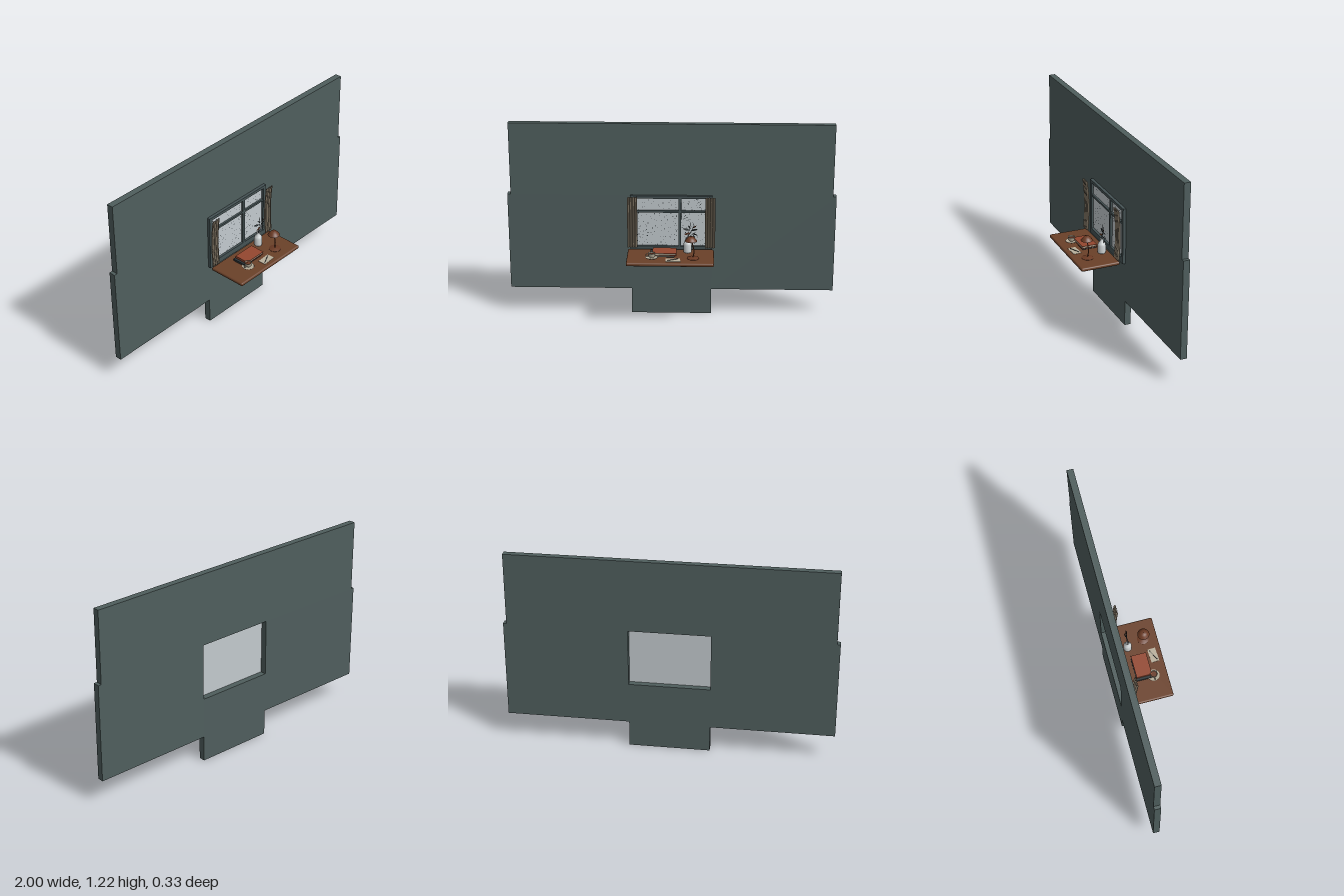
import * as THREE from 'three';
import { mergeGeometries } from 'three/addons/utils/BufferGeometryUtils.js';
import { RoundedBoxGeometry } from 'three/addons/geometries/RoundedBoxGeometry.js';

const colours = {
  wall: 0x4f5e5d, frame: 0x455254, glass: 0xc3cace, wood: 0x6b4129, curtain: 0x8d806d,
  redCover: 0x94472f, cream: 0xb9b09c, charcoal: 0x2c3437, bronze: 0x6a3a24, porcelain: 0xd0d5d6,
};
const mats = {};
for (const [name, color] of Object.entries(colours)) {
  mats[name] = new THREE.MeshStandardMaterial({ color });
  mats[name].name = name;
}
mats.curtain.side = mats.charcoal.side = mats.porcelain.side = THREE.DoubleSide;
mats.cream.side = mats.bronze.side = THREE.DoubleSide;

function add(parent, name, geometry, mat, x = 0, y = 0, z = 0) {
  const mesh = new THREE.Mesh(geometry, mats[mat]);
  mesh.name = name;
  mesh.position.set(x, y, z);
  parent.add(mesh);
  return mesh;
}

// Box given by its limits on each axis
function slab(parent, name, mat, x0, x1, y0, y1, z0, z1) {
  return add(parent, name, new THREE.BoxGeometry(x1 - x0, y1 - y0, z1 - z0), mat,
    (x0 + x1) / 2, (y0 + y1) / 2, (z0 + z1) / 2);
}

function lathe(points, segments = 28) {
  return new THREE.LatheGeometry(points.map(p => new THREE.Vector2(...p)), segments);
}

function tube(points, radius) {
  const curve = new THREE.CatmullRomCurve3(points.map(p => new THREE.Vector3(...p)));
  return new THREE.TubeGeometry(curve, 16, radius, 8);
}

function group(parent, name, x = 0, y = 0, z = 0) {
  const g = new THREE.Group();
  g.name = name;
  g.position.set(x, y, z);
  parent.add(g);
  return g;
}

// Speckles scattered over the pane
function speckles() {
  let seed = 7;
  const rand = () => (seed = (seed * 16807) % 2147483647) / 2147483647;
  const dots = [];
  for (let i = 0; i < 300; i++) {
    const dot = new THREE.CircleGeometry(0.0012 + 0.0022 * rand() ** 2, 7);
    dots.push(dot.translate((rand() - 0.5) * 0.45, 0.45 + rand() * 0.305, 0));
  }
  return mergeGeometries(dots);
}

// Pleated cloth that bows back towards the window
function curtainGeometry() {
  const g = new THREE.PlaneGeometry(0.062, 0.325, 48, 14);
  const p = g.attributes.position;
  for (let i = 0; i < p.count; i++) {
    const t = p.getY(i) / 0.325 + 0.5;
    const bow = -0.012 * Math.sin(Math.PI * Math.min(1, t * 0.9 + 0.05));
    const pleat = 0.006 * Math.sin(p.getX(i) / 0.062 * Math.PI * 8);
    p.setZ(i, bow + pleat + 0.004 * t);
  }
  g.computeVertexNormals();
  return g;
}

// Closed book: two covers, a page block and a spine on the left
function book(parent, name, mat, x0, x1, y0, y1, z0, z1) {
  const g = group(parent, name);
  const c = 0.0025;
  slab(g, 'bottomCover', mat, x0, x1, y0, y0 + c, z0, z1);
  slab(g, 'topCover', mat, x0, x1, y1 - c, y1, z0, z1);
  slab(g, 'spine', mat, x0, x0 + c, y0 + c, y1 - c, z0, z1);
  slab(g, 'pages', 'cream', x0 + c, x1 - 0.004, y0 + c, y1 - c, z0 + 0.003, z1 - 0.003);
}

export function createModel() {
  const model = new THREE.Group();
  model.name = 'windowDesk';

  // Wall panels around the opening
  const wall = group(model, 'wall');
  slab(wall, 'upperWall', 'wall', -0.98, 0.98, 0.775, 1.222, -0.162, -0.122);
  slab(wall, 'rightWall', 'wall', -1, -0.247, 0.163, 0.775, -0.162, -0.122);
  slab(wall, 'leftWall', 'wall', 0.247, 1, 0.163, 0.775, -0.162, -0.122);
  slab(wall, 'lowerWall', 'wall', -0.247, 0.247, 0, 0.42, -0.162, -0.122);

  // Window
  const win = group(model, 'window');
  slab(win, 'pane', 'glass', -0.247, 0.247, 0.42, 0.775, -0.124, -0.118);
  add(win, 'paneSpeckles', speckles(), 'charcoal', 0, 0, -0.117);
  for (const s of [-1, 1]) {
    slab(win, 'jamb', 'frame', s * 0.239 - 0.011, s * 0.239 + 0.011, 0.418, 0.776, -0.122, -0.103);
  }
  slab(win, 'headRail', 'frame', -0.228, 0.228, 0.758, 0.776, -0.122, -0.103);
  slab(win, 'sillRail', 'frame', -0.228, 0.228, 0.418, 0.452, -0.122, -0.103);
  slab(win, 'mullion', 'frame', 0.044, 0.06, 0.452, 0.758, -0.122, -0.104);
  slab(win, 'transom', 'frame', -0.228, 0.228, 0.668, 0.681, -0.122, -0.105);

  // Curtains
  for (const s of [-1, 1]) {
    add(model, s > 0 ? 'leftCurtain' : 'rightCurtain', curtainGeometry(), 'curtain', s * 0.237, 0.617, -0.066);
  }

  // Desk top
  add(model, 'deskTop', new RoundedBoxGeometry(0.525, 0.022, 0.247, 3, 0.009), 'wood', -0.002, 0.431, 0.041);
  const top = 0.442;

  // Stacked books
  book(model, 'lowerBook', 'charcoal', -0.125, 0.022, top, top + 0.013, -0.032, 0.06);
  book(model, 'upperBook', 'redCover', -0.11, 0.035, top + 0.013, top + 0.028, -0.028, 0.068);

  // Cup and saucer
  const cup = group(model, 'cupAndSaucer', -0.113, top, 0.078);
  add(cup, 'saucer', lathe([[0, 0], [0.02, 0], [0.037, 0.006], [0.036, 0.008], [0.02, 0.003], [0, 0.003]]), 'cream');
  add(cup, 'cup', lathe([[0, 0.004], [0.011, 0.004], [0.019, 0.014], [0.022, 0.033], [0.02, 0.033], [0.016, 0.014], [0, 0.008]]), 'cream');
  add(cup, 'drink', new THREE.CylinderGeometry(0.0195, 0.0195, 0.002, 24), 'bronze', 0, 0.026, 0);
  add(cup, 'handle', new THREE.TorusGeometry(0.009, 0.0022, 8, 18), 'cream', -0.026, 0.02, 0);

  // Note sheet and pen
  const note = group(model, 'note', 0.015, top, 0.11);
  note.rotation.y = 0.06;
  add(note, 'paper', new THREE.BoxGeometry(0.088, 0.002, 0.05), 'cream', 0, 0.001, 0);
  const pen = add(note, 'pen', new THREE.CylinderGeometry(0.0022, 0.0015, 0.07, 8), 'charcoal', 0, 0.005, 0);
  pen.rotation.set(0, 0.4, Math.PI / 2);

  // Lamp
  const lamp = group(model, 'lamp', 0.135, top, 0.075);
  add(lamp, 'lampBase', lathe([[0, 0], [0.036, 0], [0.036, 0.004], [0.01, 0.009], [0, 0.011]]), 'bronze');
  add(lamp, 'lampStem', tube([[0, 0.006, 0], [0.006, 0.045, -0.003], [-0.002, 0.085, -0.002], [-0.012, 0.125, 0]], 0.0032), 'bronze');
  add(lamp, 'lampShade', lathe([[0.037, 0.112], [0.026, 0.126], [0.016, 0.137], [0, 0.138]]), 'bronze', -0.012, 0, 0);

  // Vase with a leafy sprig
  const vase = group(model, 'vase', 0.1, top, -0.031);
  add(vase, 'vaseBody', lathe([[0, 0], [0.022, 0], [0.025, 0.006], [0.025, 0.05], [0.021, 0.064],
    [0.011, 0.076], [0.009, 0.09], [0.011, 0.094], [0.008, 0.092], [0.007, 0.08]]), 'porcelain');
  const leafShape = new THREE.Shape();
  leafShape.moveTo(0, 0);
  leafShape.quadraticCurveTo(0.018, 0.011, 0.04, 0);
  leafShape.quadraticCurveTo(0.018, -0.011, 0, 0);
  const leafGeometry = new THREE.ShapeGeometry(leafShape, 8);
  const stems = [
    [[0, 0.03, 0], [0.004, 0.1, 0], [0.03, 0.15, 0.002], [0.038, 0.185, 0.002]],
    [[0, 0.03, 0], [0.002, 0.1, 0], [0.014, 0.16, 0], [0.016, 0.192, 0]],
    [[0, 0.03, 0], [0.006, 0.09, 0], [0.036, 0.12, 0], [0.05, 0.128, 0]],
  ];
  for (const path of stems) add(vase, 'stem', tube(path, 0.0014), 'charcoal');
  // Leaves: x, y, angle, size
  const leaves = [[0.012, 0.14, 2.9, 1.1], [0.02, 0.14, 0.2, 1.1], [0.018, 0.125, 3.4, 1],
    [0.028, 0.12, -0.4, 0.9], [0.02, 0.15, 2.3, 0.7], [0.03, 0.155, 0.7, 0.8], [0.034, 0.11, -1.2, 0.8]];
  leaves.forEach(([x, y, angle, size], i) => {
    const leaf = add(vase, 'leaf', leafGeometry, i % 3 === 2 ? 'bronze' : 'charcoal', x, y, (i % 3 - 1) * 0.003);
    if (i % 3 === 2) leaf.name = 'driedLeaf';
    leaf.rotation.set(0.3 * (i % 2 ? 1 : -1), 0, angle);
    leaf.scale.setScalar(size);
  });

  return model;
}
